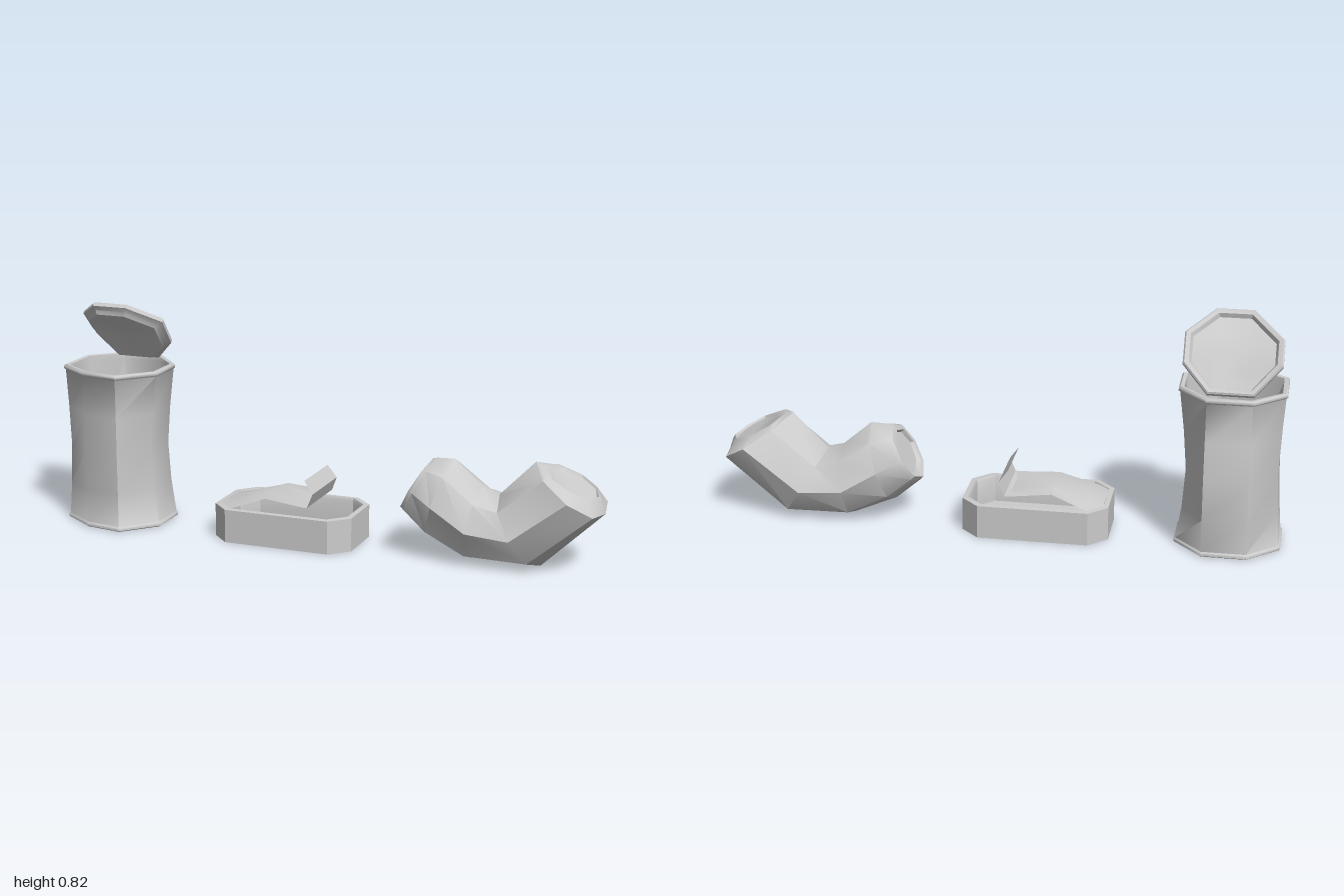
import * as THREE from 'three';
import { toCreasedNormals } from 'three/addons/utils/BufferGeometryUtils.js';

const material = new THREE.MeshStandardMaterial({ color: 0xcccccc, side: THREE.DoubleSide });

// Skins a list of equal-length rings of [x, y, z] points, closing both ends.
function loft(name, rings, crease = 0.9) {
  const n = rings[0].length;
  const tris = [];
  const middle = ring => [0, 1, 2].map(k => ring.reduce((s, p) => s + p[k], 0) / n);
  const first = rings[0], last = rings[rings.length - 1];
  const c0 = middle(first), c1 = middle(last);
  for (let i = 0; i < n; i++) {
    const j = (i + 1) % n;
    for (let r = 0; r < rings.length - 1; r++) {
      const a = rings[r], b = rings[r + 1];
      tris.push([a[i], a[j], b[j]], [a[i], b[j], b[i]]);
    }
    tris.push([c0, first[j], first[i]], [c1, last[i], last[j]]);
  }
  // Turn the faces outward if the enclosed volume comes out negative
  let volume = 0;
  const v = p => new THREE.Vector3(...p);
  for (const [a, b, c] of tris) volume += v(a).dot(v(b).cross(v(c)));
  if (volume < 0) tris.forEach(t => t.reverse());
  return finish(name, tris, crease);
}

function finish(name, tris, crease) {
  const geometry = new THREE.BufferGeometry();
  geometry.setAttribute('position', new THREE.Float32BufferAttribute(tris.flat(2), 3));
  geometry.computeVertexNormals();
  const mesh = new THREE.Mesh(toCreasedNormals(geometry, crease), material);
  mesh.name = name;
  return mesh;
}

// Open grid of points, for the thin peeled sheet.
function sheet(name, rows) {
  const tris = [];
  for (let r = 0; r < rows.length - 1; r++) {
    for (let i = 0; i < rows[r].length - 1; i++) {
      const a = rows[r][i], b = rows[r][i + 1], c = rows[r + 1][i + 1], d = rows[r + 1][i];
      tris.push([a, b, c], [a, c, d]);
    }
  }
  return finish(name, tris, 0.5);
}

function tallCan() {
  const can = new THREE.Group();
  can.name = 'tallCan';
  const cx = -0.815;
  const outline = [[-1, -0.08], [-1, 0.09], [-0.88, 0.175], [-0.74, 0.197],
    [-0.63, 0.08], [-0.63, -0.07], [-0.73, -0.18], [-0.89, -0.18]];
  // The dent pulls the sides in and pushes the back out
  const ring = (y, scale, dent = 0) => outline.map(([x, z]) => {
    const dx = x > -0.7 ? -0.028 : x < -0.95 ? 0.015 : 0;
    const dz = z < -0.15 ? -0.022 : 0;
    return [cx + (x - cx) * scale + dx * dent, y, z * scale + dz * dent];
  });
  can.add(loft('canBody', [
    ring(0, 0.97), ring(0.004, 1), ring(0.013, 1), ring(0.018, 0.97),
    ring(0.14, 0.97, 0.65), ring(0.28, 0.97, 1), ring(0.42, 0.97, 0.6),
    ring(0.56, 0.97), ring(0.566, 1), ring(0.574, 1), ring(0.58, 0.97),
    ring(0.578, 0.9), ring(0.56, 0.89), ring(0.28, 0.9, 1), ring(0.02, 0.9),
  ]));

  // Bent-back lid: raised rim around a dished panel
  const rim = [[-0.87, 0.815, 0.09], [-0.74, 0.815, 0.09], [-0.64, 0.755, 0],
    [-0.64, 0.665, -0.07], [-0.73, 0.587, -0.147], [-0.89, 0.587, -0.147],
    [-0.98, 0.685, -0.11], [-0.98, 0.755, -0.04]];
  const mid = [-0.81, 0.705, -0.04];
  const normal = [0, 0.72, -0.69];
  const lidRing = (scale, lift) => rim.map(p =>
    p.map((c, k) => mid[k] + (c - mid[k]) * scale + normal[k] * lift));
  can.add(loft('canLid', [
    lidRing(0.5, -0.008), lidRing(0.83, -0.012), lidRing(0.88, 0.004), lidRing(0.97, 0.006),
    lidRing(1, 0), lidRing(1, -0.012), lidRing(0.9, -0.02),
    lidRing(0.83, -0.032), lidRing(0.5, -0.028),
  ], 0.6));
  return can;
}

function flatTin() {
  const tin = new THREE.Group();
  tin.name = 'flatTin';
  // Chamfered rectangle, inset by d
  const ring = (y, d) => {
    const x0 = -0.4 + d, x1 = 0.12 - d, z0 = -0.152 + d, z1 = 0.16 - d, c = 0.065 - d * 0.4;
    return [[x0, z0 + c], [x0, z1 - c], [x0 + c, z1], [x1 - c, z1],
      [x1, z1 - c], [x1, z0 + c], [x1 - c, z0], [x0 + c, z0]].map(([x, z]) => [x, y, z]);
  };
  tin.add(loft('tinBody', [ring(0, 0), ring(0.12, 0), ring(0.122, 0.018), ring(0.112, 0.022), ring(0.02, 0.022)], 0.5));

  // Peeled lid: x, height, half width, droop of the side edges
  const profile = [[-0.388, 0.118, 0.085, 0], [-0.325, 0.14, 0.128, 0.022], [-0.2, 0.174, 0.107, 0.012],
    [-0.05, 0.143, 0.12, -0.006], [-0.035, 0.15, 0.122, 0], [-0.015, 0.2, 0.118, 0], [-0.048, 0.245, 0.112, 0]];
  const rows = profile.map(([x, y, w, droop]) => [-1, -0.5, 0, 0.5, 1].map(s =>
    [x, y - droop * s * s, 0.004 + w * s]));
  tin.add(sheet('peeledLid', rows));
  return tin;
}

function bentCan() {
  const can = new THREE.Group();
  can.name = 'bentCan';
  // Octagonal section spanning a top and a bottom point, with a half width;
  // sag moves the side corners toward the bottom
  const ring = ([tx, ty, bx, by, w, sag = 0]) => Array.from({ length: 8 }, (_, i) => {
    const a = i * Math.PI / 4;
    const t = (1 - Math.cos(a)) / 2 + sag * Math.abs(Math.sin(a));
    return [tx + (bx - tx) * t, ty + (by - ty) * t, 0.006 + w * Math.sin(a)];
  });
  can.add(loft('crushedBody', [
    [0.385, 0.315, 0.31, 0.175, 0.088],
    [0.375, 0.325, 0.295, 0.17, 0.092],
    [0.388, 0.343, 0.28, 0.153, 0.108],
    [0.405, 0.347, 0.292, 0.14, 0.114],
    [0.468, 0.349, 0.38, 0.065, 0.144],
    [0.57, 0.262, 0.53, 0, 0.153],
    [0.63, 0.24, 0.78, 0, 0.153],
    [0.755, 0.368, 1, 0.21, 0.153, 0.1],
    [0.785, 0.36, 0.985, 0.255, 0.112],
    [0.81, 0.346, 0.976, 0.268, 0.104],
    [0.818, 0.335, 0.968, 0.262, 0.1],
  ].map(ring), 0.75));
  return can;
}

export function createModel() {
  const model = new THREE.Group();
  model.name = 'emptyCans';
  model.add(tallCan(), flatTin(), bentCan());
  return model;
}
